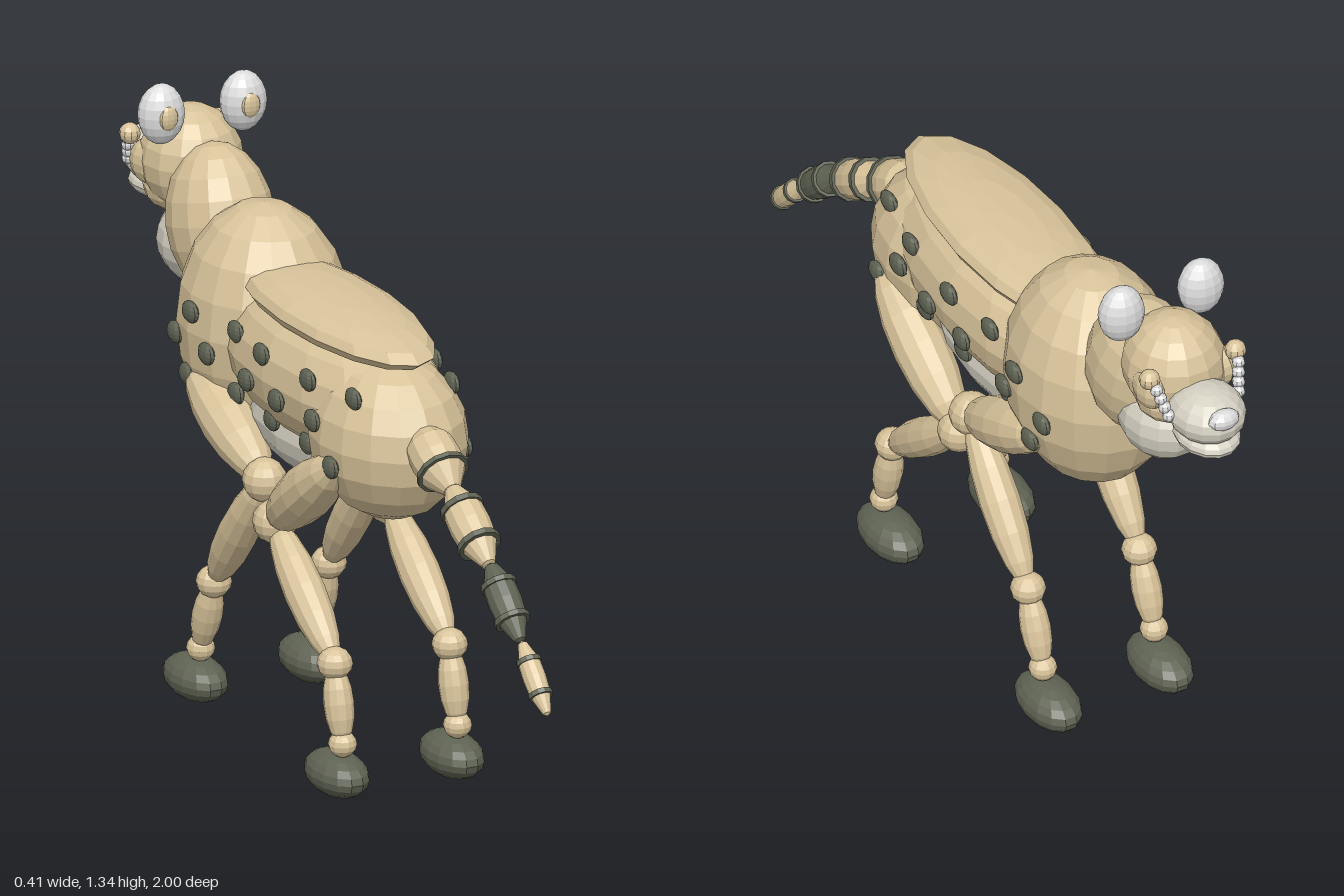
import * as THREE from 'three';

const mat = (name, color) => {
  const m = new THREE.MeshStandardMaterial({ color, flatShading: true });
  m.name = name;
  return m;
};

export function createModel() {
  const root = new THREE.Group();
  root.name = 'spottedCat';
  const tan = mat('tan fur', 0xd8c39a);
  const dark = mat('dark markings', 0x5f6353);
  const cream = mat('cream fur', 0xd5d0c2);
  const white = mat('white fur', 0xdcdcdc);
  const Y = new THREE.Vector3(0, 1, 0);

  // Faceted ellipsoid; tilt turns it about x
  const ball = (name, m, p, r, tilt = 0, seg = 14, rows = 10) => {
    const mesh = new THREE.Mesh(new THREE.SphereGeometry(1, seg, rows), m);
    mesh.name = name;
    mesh.position.set(...p);
    mesh.scale.set(...r);
    mesh.rotation.x = tilt;
    root.add(mesh);
    return mesh;
  };
  // Lathe of [radius, fraction of length] points, running from a to b
  const spindle = (name, m, a, b, profile) => {
    const A = new THREE.Vector3(...a), d = new THREE.Vector3(...b).sub(A), len = d.length();
    const pts = profile.map(([r, t]) => new THREE.Vector2(r, t * len));
    const mesh = new THREE.Mesh(new THREE.LatheGeometry(pts, 12), m);
    mesh.name = name;
    mesh.position.copy(A);
    mesh.quaternion.setFromUnitVectors(Y, d.normalize());
    root.add(mesh);
    return mesh;
  };
  const muscle = (name, a, b, r) => spindle(name, tan, a, b,
    [0, 1, 2, 3, 4, 5, 6, 7, 8].map((i) => [r * Math.sin(Math.PI * i / 8), (1 - Math.cos(Math.PI * i / 8)) / 2]));

  // Trunk
  const trunk = [
    { name: 'torso', p: [0, 0.875, -0.05], r: [0.178, 0.165, 0.44] },
    { name: 'rump', p: [0, 0.81, 0.215], r: [0.168, 0.187, 0.215] },
    { name: 'chest', p: [0, 0.88, -0.395], r: [0.188, 0.272, 0.217] },
  ];
  trunk.forEach(({ name, p, r }) => ball(name, tan, p, r, 0, 16, 10));
  ball('belly', cream, [0, 0.73, -0.08], [0.13, 0.11, 0.31]);
  ball('backRidge', tan, [0, 1.013, -0.04], [0.138, 0.05, 0.405], 0, 16, 8);

  // Flank spots, seated on whichever trunk part lies outermost
  const rows = [
    [0.93, [0.285, 0.13, -0.065, -0.22, -0.38]],
    [0.85, [0.17, 0.02, -0.13, -0.32, -0.48]],
    [0.77, [0.26, 0.095, -0.075, -0.265, -0.425]],
  ];
  for (const [y, zs] of rows) for (const z of zs) {
    const x = Math.max(...trunk.map(({ p, r }) =>
      r[0] * Math.sqrt(Math.max(0, 1 - ((y - p[1]) / r[1]) ** 2 - ((z - p[2]) / r[2]) ** 2))));
    for (const s of [-1, 1]) ball('spot', dark, [s * (x + 0.003), y, z], [0.014, 0.025, 0.033], 0, 10, 8);
  }

  // Neck and head
  ball('neck', tan, [0, 1.04, -0.61], [0.118, 0.175, 0.135], -0.25);
  ball('throat', cream, [0, 0.965, -0.705], [0.095, 0.098, 0.115]);
  ball('head', tan, [0, 1.14, -0.755], [0.115, 0.122, 0.118]);
  ball('jawBase', tan, [0, 1.075, -0.775], [0.1, 0.065, 0.085]);
  ball('muzzle', cream, [0, 1.1, -0.9], [0.085, 0.062, 0.095]);
  ball('lowerJaw', cream, [0, 1.04, -0.9], [0.07, 0.034, 0.09]);
  ball('nose', white, [0, 1.125, -0.975], [0.038, 0.024, 0.025], 0, 10, 8);

  for (const s of [-1, 1]) {
    // Face and ears
    ball('cheek', tan, [s * 0.085, 1.13, -0.8], [0.035, 0.05, 0.05], 0, 10, 8);
    ball('ear', white, [s * 0.1, 1.273, -0.7], [0.054, 0.069, 0.044]);
    ball('innerEar', tan, [s * 0.1, 1.273, -0.664], [0.024, 0.029, 0.013], 0, 10, 8);
    ball('eye', tan, [s * 0.108, 1.185, -0.838], [0.024, 0.024, 0.024], 0, 10, 8);
    for (let i = 0; i < 4; i++) {
      ball('tearBead', white, [s * (0.103 - i * 0.005), 1.168 - i * 0.019, -0.86 - i * 0.009],
        [0.015, 0.015, 0.015], 0, 8, 6);
    }

    // Legs: shoulder or hip, knee, hock, ankle and paw as [y, z]
    const legs = {
      hind: [[0.78, 0.27], [0.54, -0.06], [0.305, 0.235], [0.13, 0.273], [0.055, 0.245]],
      fore: [[0.78, -0.445], [0.62, -0.11], [0.305, -0.36], [0.13, -0.425], [0.055, -0.45]],
    };
    for (const [leg, joints] of Object.entries(legs)) {
      const [hip, knee, hock, ankle, paw] = joints.map(([y, z], i) => [s * (i ? 0.14 : 0.148), y, z]);
      muscle(leg + 'Thigh', hip, knee, 0.062);
      ball(leg + 'Knee', tan, knee, [0.05, 0.05, 0.05], 0, 12, 8);
      muscle(leg + 'Shin', knee, hock, 0.046);
      ball(leg + 'Hock', tan, hock, [0.04, 0.037, 0.04], 0, 12, 8);
      muscle(leg + 'Foot', hock, ankle, 0.034);
      ball(leg + 'Ankle', tan, ankle, [0.032, 0.03, 0.032], 0, 12, 8);
      ball(leg + 'Paw', dark, paw, [0.062, 0.05, 0.105]);
    }
  }

  // Tail: four tapered links with dark rings
  const links = [
    [0.87, 0.37, 0.775, 0.535, 0.057, tan],
    [0.785, 0.525, 0.66, 0.715, 0.047, tan],
    [0.668, 0.715, 0.533, 0.868, 0.038, dark],
    [0.538, 0.87, 0.405, 1.0, 0.026, tan],
  ];
  links.forEach(([y0, z0, y1, z1, r, m], i) => {
    const a = [0, y0, z0], b = [0, y1, z1];
    spindle('tailLink', m, a, b, [[0, 0], [r * 0.4, 0.04], [r * 0.95, 0.28], [r, 0.5], [r * 0.9, 0.72], [r * 0.35, 0.97], [0, 1]]);
    for (const t of i === 0 ? [0.68] : [0.28, 0.72]) {
      const q = r * 1.06;
      spindle('tailRing', dark, a, b, [[0, t - 0.03], [q, t - 0.03], [q, t + 0.03], [0, t + 0.03]]);
    }
  });
  return root;
}
